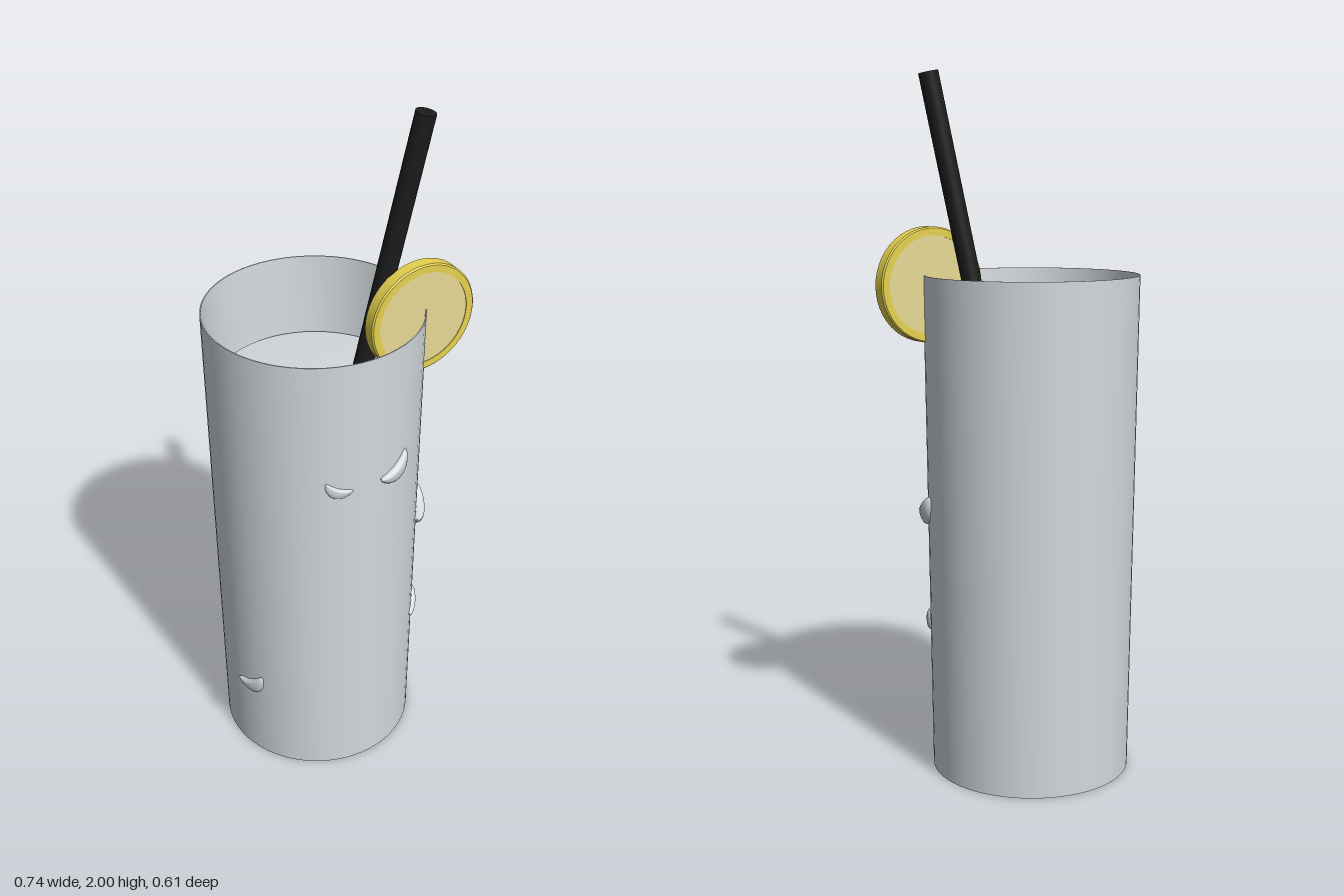
import * as THREE from 'three';
import { toCreasedNormals } from 'three/addons/utils/BufferGeometryUtils.js';
import { RoundedBoxGeometry } from 'three/addons/geometries/RoundedBoxGeometry.js';

const material = (name, color) => {
  const m = new THREE.MeshStandardMaterial({ color });
  m.name = name;
  return m;
};

// Teardrop lump: rounded below, flattened on top, swept up at the ends
function lumpGeometry() {
  const geometry = new THREE.SphereGeometry(1, 20, 14);
  const p = geometry.attributes.position;
  for (let i = 0; i < p.count; i++) {
    const x = p.getX(i);
    const y = p.getY(i);
    p.setY(i, (y > 0 ? y * 0.35 : y) + 0.5 * x * x);
  }
  geometry.computeVertexNormals();
  return geometry;
}

export function createModel() {
  const glassGrey = material('glassGrey', 0xd3dade);
  const rindYellow = material('rindYellow', 0xe6d24e);
  const pulpYellow = material('pulpYellow', 0xeee09a);
  const strawBlack = material('strawBlack', 0x1c1c1c);

  const model = new THREE.Group();
  const cx = -0.067; // axis of the glass

  const add = (parent, name, geometry, mat, x = 0, y = 0, z = 0) => {
    const mesh = new THREE.Mesh(geometry, mat);
    mesh.name = name;
    mesh.position.set(x, y, z);
    parent.add(mesh);
    return mesh;
  };
  const lathe = (points, segments = 64) =>
    new THREE.LatheGeometry(points.map(([r, y]) => new THREE.Vector2(r, y)), segments);

  // Tapered tumbler with a recessed base and a thin rim
  add(model, 'glass', toCreasedNormals(lathe([
    [0, 0.1], [0.278, 0.1], [0.282, 0], [0.287, 0],
    [0.306, 1.44], [0.303, 1.44], [0.289, 1.15],
  ]), 0.6), glassGrey, cx);

  // Drink, smooth over its rounded edge
  add(model, 'drink', lathe([[0.291, 1.16], [0.287, 1.185], [0.278, 1.205], [0, 1.21]]), glassGrey, cx);

  // Ice cube floating at the surface
  const ice = add(model, 'floatingIce', new RoundedBoxGeometry(0.25, 0.14, 0.12, 3, 0.04), glassGrey, 0.022, 1.18, 0.125);
  ice.rotation.set(-0.3, 0.5, 0.06, 'YXZ');

  // Ice corners showing on the wall:
  // angle round the glass, height, half width, half height, depth, tilt
  const corners = [
    [0.19, 1.045, 0.042, 0.025, 0.01, -0.4],
    [0.81, 1.055, 0.058, 0.04, 0.018, 0.5],
    [1.57, 0.77, 0.068, 0.045, 0.027, 0.35],
    [1.43, 0.43, 0.048, 0.032, 0.014, 0.6],
    [-0.75, 0.27, 0.055, 0.034, 0.014, 0.5],
  ];
  const lumpShape = lumpGeometry();
  for (const [angle, y, w, h, depth, tilt] of corners) {
    const r = 0.286 + 0.013 * y;
    const lump = add(model, 'iceCorner', lumpShape, glassGrey,
      cx + r * Math.sin(angle), y, r * Math.cos(angle));
    lump.scale.set(w, h, depth);
    lump.rotation.set(0, angle, tilt, 'YXZ');
  }

  // Straw leaning toward the slice
  const top = new THREE.Vector3(0.219, 1.994, 0);
  const bottom = new THREE.Vector3(0.047, 1.15, 0);
  const axis = top.clone().sub(bottom);
  const mid = top.clone().add(bottom).multiplyScalar(0.5);
  const straw = add(model, 'straw', new THREE.CylinderGeometry(0.028, 0.028, axis.length(), 24), strawBlack, mid.x, mid.y, mid.z);
  straw.quaternion.setFromUnitVectors(new THREE.Vector3(0, 1, 0), axis.normalize());

  // Citrus slice sitting on the rim
  const slice = new THREE.Group();
  slice.name = 'citrusSlice';
  slice.position.set(0.221, 1.413, 0);
  slice.rotation.y = 0.49;
  model.add(slice);
  const rind = add(slice, 'rind', toCreasedNormals(lathe([
    [0.138, -0.021], [0.158, -0.021], [0.162, -0.017], [0.162, 0.017], [0.158, 0.021], [0.138, 0.021], [0.138, -0.021],
  ], 48), 0.6), rindYellow);
  const pulp = add(slice, 'pulp', new THREE.CylinderGeometry(0.139, 0.139, 0.038, 48), pulpYellow);
  rind.rotation.x = pulp.rotation.x = Math.PI / 2;

  return model;
}
